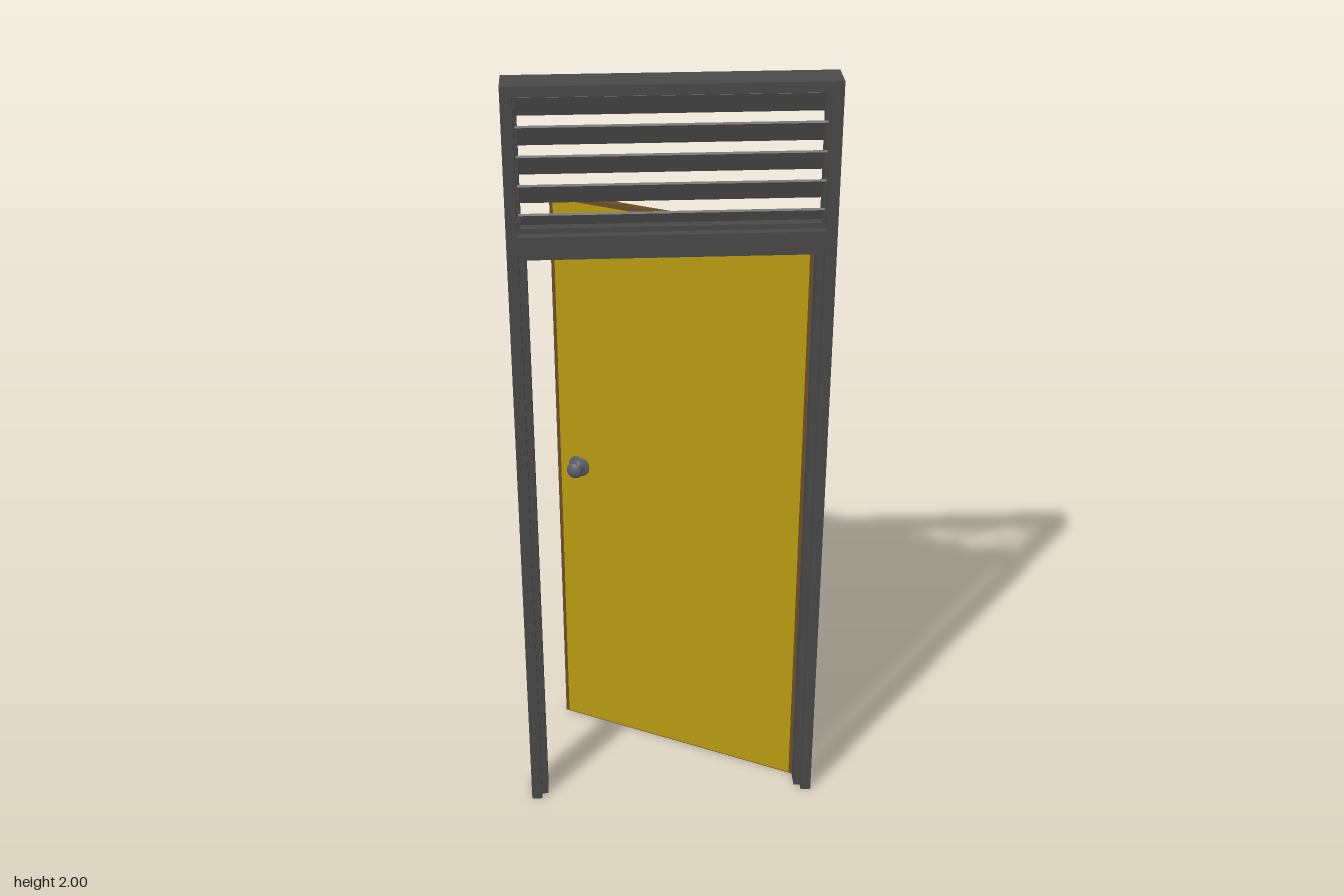
import * as THREE from 'three';

const mat = (name, color) => {
  const m = new THREE.MeshStandardMaterial({ color });
  m.name = name;
  return m;
};

export function createModel() {
  const frameGrey = mat('frame grey', 0x4a4a4a);
  const slatGrey = mat('slat grey', 0x6c6c6c);
  const yellow = mat('door yellow', 0xb89a10);
  const brown = mat('edge brown', 0x6a4d26);
  const steel = mat('handle steel', 0x5a5e64);

  const model = new THREE.Group();
  model.name = 'louveredDoorway';

  // Box given by its min and max on each axis
  const box = (parent, name, material, [x0, x1], [y0, y1], [z0, z1]) => {
    const mesh = new THREE.Mesh(new THREE.BoxGeometry(x1 - x0, y1 - y0, z1 - z0), material);
    mesh.position.set((x0 + x1) / 2, (y0 + y1) / 2, (z0 + z1) / 2);
    mesh.name = name;
    parent.add(mesh);
    return mesh;
  };

  // Frame: jambs, head and transom rail, with a recessed door stop
  const frame = new THREE.Group();
  frame.name = 'frame';
  model.add(frame);
  const depth = [0.117, 0.2];
  const stopDepth = [0.138, 0.18];
  const side = (s, a, b) => (s > 0 ? [a, b] : [-b, -a]);
  for (const s of [-1, 1]) {
    box(frame, 'jamb', frameGrey, side(s, 0.353, 0.38), [0, 2], depth);
    box(frame, 'jambStop', frameGrey, side(s, 0.336, 0.353), [0, 1.605], stopDepth);
    box(frame, 'louverSideLiner', frameGrey, side(s, 0.346, 0.353), [1.645, 1.975], stopDepth);
  }
  box(frame, 'head', frameGrey, [-0.353, 0.353], [1.975, 2], depth);
  box(frame, 'transomRail', frameGrey, [-0.353, 0.353], [1.605, 1.645], depth);
  box(frame, 'headStop', frameGrey, [-0.336, 0.336], [1.58, 1.605], stopDepth);
  box(frame, 'louverTopLiner', frameGrey, [-0.346, 0.346], [1.965, 1.975], stopDepth);
  box(frame, 'louverBottomLiner', frameGrey, [-0.346, 0.346], [1.645, 1.658], stopDepth);

  // Louver slats, high at the front and low at the back
  const slats = new THREE.Group();
  slats.name = 'louverSlats';
  model.add(slats);
  for (let i = 0; i < 5; i++) {
    const slat = new THREE.Mesh(new THREE.BoxGeometry(0.7, 0.006, 0.076), slatGrey);
    slat.position.set(0, 1.943 - i * 0.0695, 0.159);
    slat.rotation.x = -0.86;
    slat.name = 'slat';
    slats.add(slat);
  }

  // Door leaf, swung open to the back about its left edge
  const door = new THREE.Group();
  door.name = 'door';
  door.position.set(0.345, 0, 0.118);
  door.rotation.y = -0.476;
  model.add(door);
  const width = 0.7, thick = 0.0175;
  box(door, 'doorCore', brown, [-width, 0], [0, 1.6], [0, thick]);
  const face = [[-width + 0.01, -0.01], [0.003, 1.588]];
  box(door, 'frontPanel', yellow, ...face, [thick, thick + 0.001]);
  box(door, 'backPanel', yellow, ...face, [-0.001, 0]);

  // Mushroom knob on a round rose
  const profile = [
    [0, 0], [0.03, 0], [0.03, 0.003], [0.025, 0.006], [0.006, 0.008], [0.005, 0.028],
    [0.012, 0.029], [0.02, 0.027], [0.022, 0.029], [0.02, 0.034], [0.012, 0.039], [0, 0.041],
  ].map(([r, h]) => new THREE.Vector2(r, h));
  const knob = new THREE.Mesh(new THREE.LatheGeometry(profile, 24), steel);
  knob.name = 'knob';
  knob.rotation.x = Math.PI / 2;
  knob.position.set(-0.636, 0.835, thick);
  door.add(knob);

  return model;
}
